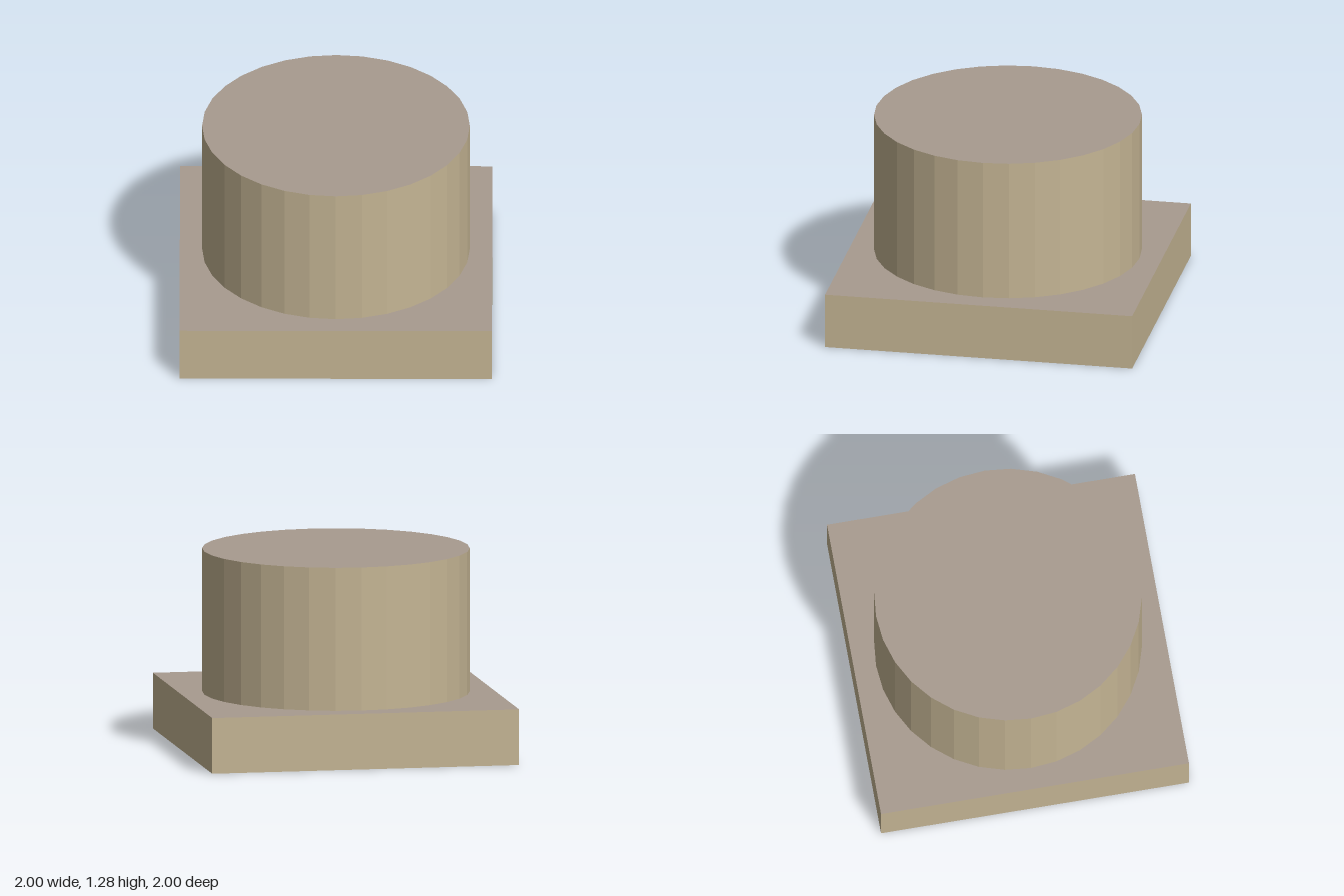
import * as THREE from 'three';

export function createModel() {
  const sand = new THREE.MeshStandardMaterial({ name: 'sandSides', color: 0xc5b594, flatShading: true });
  const stone = new THREE.MeshStandardMaterial({ name: 'stoneCaps', color: 0xa89b8f, flatShading: true });

  const model = new THREE.Group();
  model.name = 'pedestal';

  const addPart = (name, geometry, materials, y) => {
    const mesh = new THREE.Mesh(geometry, materials);
    mesh.name = name;
    mesh.position.y = y;
    model.add(mesh);
  };

  const baseHeight = 0.36;
  const drumHeight = 0.925;

  // Square slab: sand sides, stone top and underside
  addPart('base', new THREE.BoxGeometry(2, baseHeight, 2),
    [sand, sand, stone, stone, sand, sand], baseHeight / 2);

  // Faceted round drum: sand wall, stone end caps
  addPart('drum', new THREE.CylinderGeometry(0.857, 0.857, drumHeight, 32),
    [sand, stone, stone], baseHeight + drumHeight / 2);

  return model;
}
